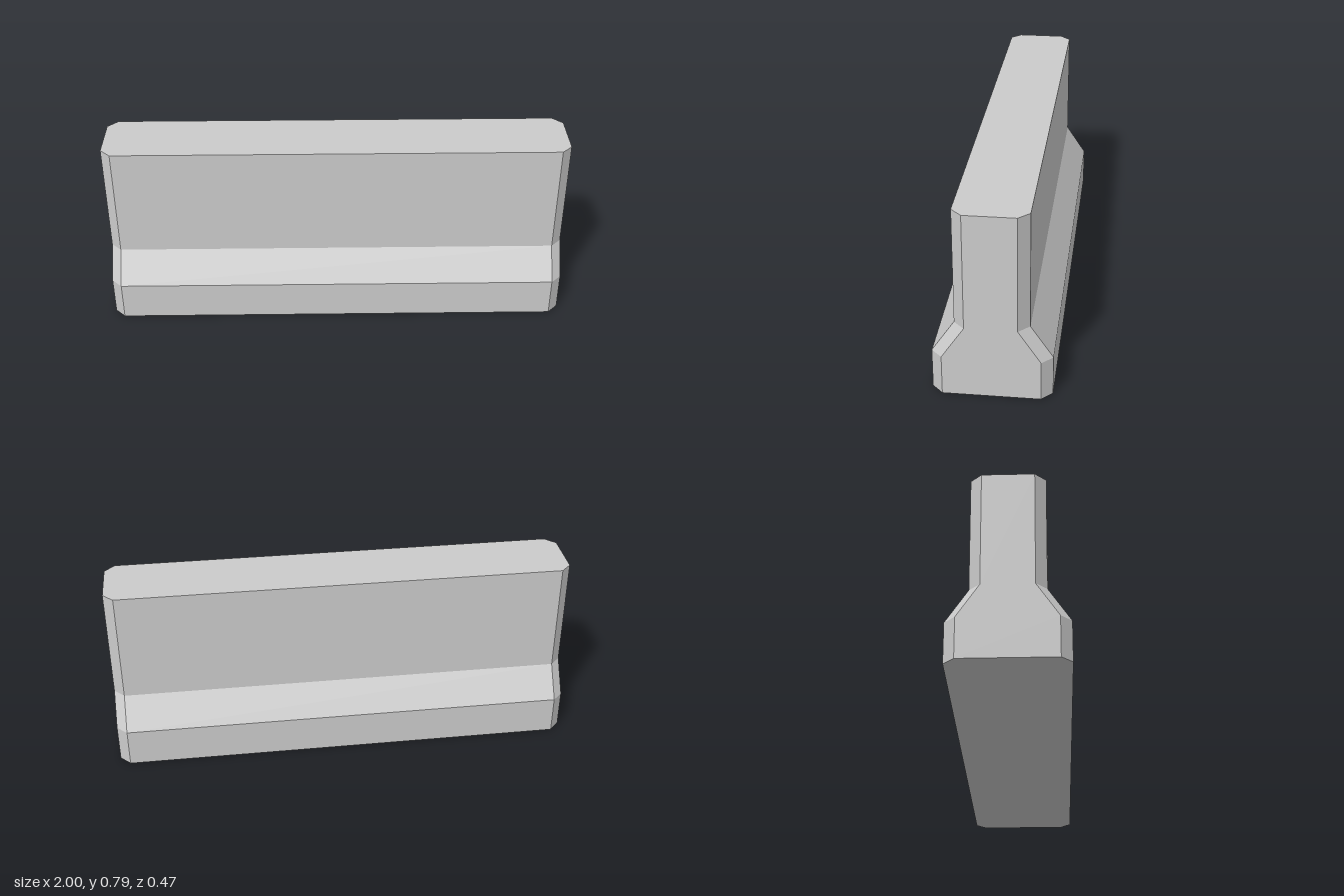
import * as THREE from 'three';

// Barrier profile from the ground up: [height, half depth]
const PROFILE = [[0, 0.237], [0.168, 0.237], [0.303, 0.147], [0.787, 0.147]];
const HALF_LENGTH = 1;
const CHAMFER = 0.044;

// Rectangle with chamfered corners, counter-clockwise seen from above
function ring([y, depth]) {
  const x = HALF_LENGTH, xi = x - CHAMFER, z = depth, zi = depth - CHAMFER;
  return [
    [x, zi], [x, -zi], [xi, -z], [-xi, -z],
    [-x, -zi], [-x, zi], [-xi, z], [xi, z],
  ].map(([px, pz]) => [px, y, pz]);
}

function barrierGeometry() {
  const rings = PROFILE.map(ring);
  const n = rings[0].length;
  const positions = [];
  const triangle = (a, b, c) => positions.push(...a, ...b, ...c);

  // Walls, slopes and corner chamfers
  for (let i = 0; i < rings.length - 1; i++) {
    for (let j = 0; j < n; j++) {
      const k = (j + 1) % n;
      const a = rings[i][j], b = rings[i][k], c = rings[i + 1][k], d = rings[i + 1][j];
      triangle(a, b, c);
      triangle(a, c, d);
    }
  }

  // Flat underside and top
  const bottom = rings[0], top = rings[rings.length - 1];
  for (let j = 1; j < n - 1; j++) {
    triangle(bottom[0], bottom[j + 1], bottom[j]);
    triangle(top[0], top[j], top[j + 1]);
  }

  const geometry = new THREE.BufferGeometry();
  geometry.setAttribute('position', new THREE.Float32BufferAttribute(positions, 3));
  geometry.computeVertexNormals();
  return geometry;
}

export function createModel() {
  const group = new THREE.Group();
  group.name = 'roadBarrier';
  const material = new THREE.MeshStandardMaterial({ color: 0xcccccc, flatShading: true });
  const barrier = new THREE.Mesh(barrierGeometry(), material);
  barrier.name = 'concreteBarrier';
  group.add(barrier);
  return group;
}
